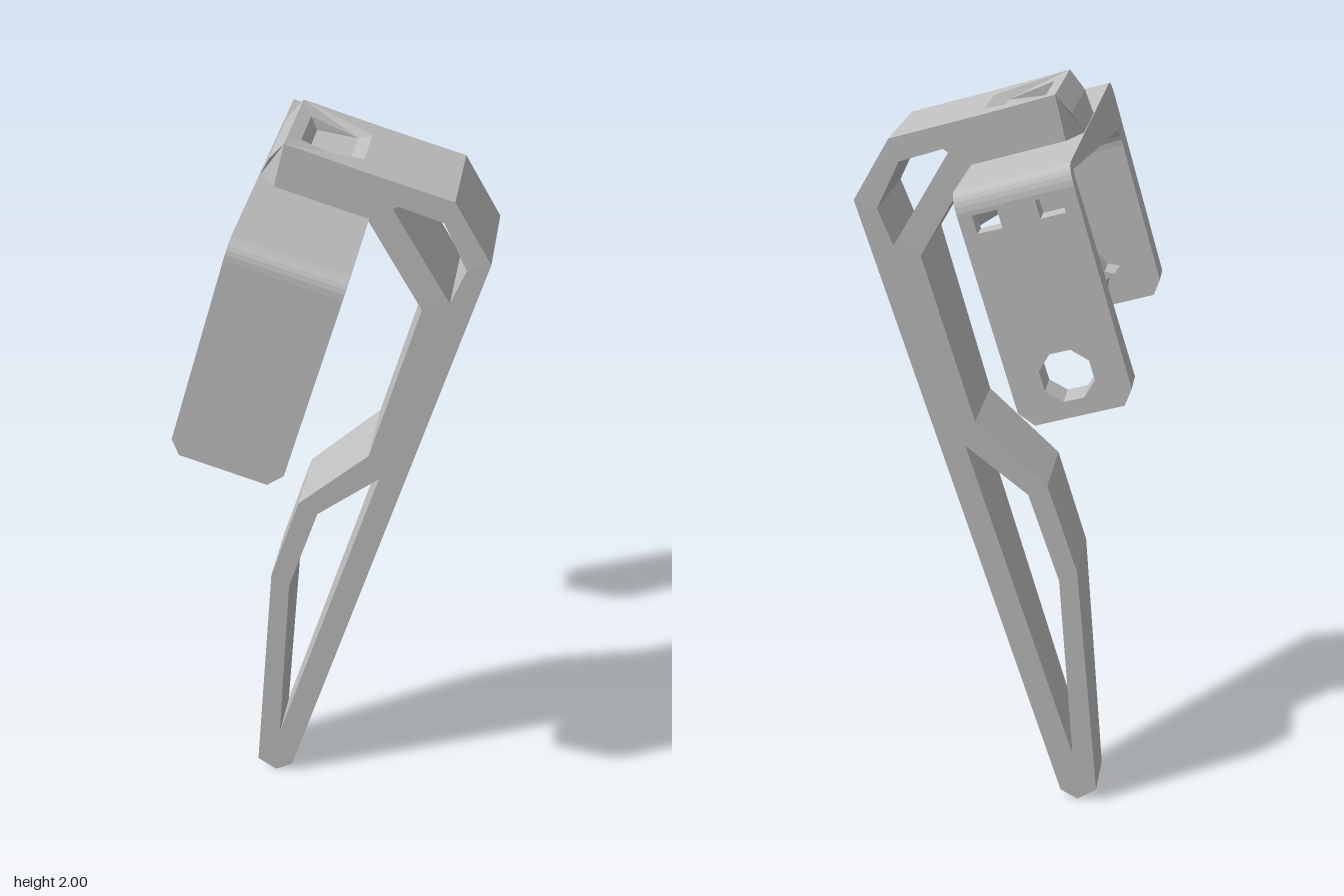
import * as THREE from 'three';

const HALF = 0.139; // half width of the bracket
const MID_Z = -0.032; // centre plane of the lever
const HEAD = 0.137; // half thickness of the lever head

const shapeOf = (pts) => new THREE.Shape(pts.map(([x, y]) => new THREE.Vector2(x, y)));
const pathOf = (pts) => new THREE.Path(pts.map(([x, y]) => new THREE.Vector2(x, y)));
const extrude = (shape, depth) =>
  new THREE.ExtrudeGeometry(shape, { depth, bevelEnabled: false, curveSegments: 6 });

// Move every vertex by a rule, then refresh the flat normals
function reshape(geo, rule) {
  const p = geo.attributes.position;
  const v = new THREE.Vector3();
  for (let i = 0; i < p.count; i++) {
    v.fromBufferAttribute(p, i);
    rule(v);
    p.setXYZ(i, v.x, v.y, v.z);
  }
  geo.computeVertexNormals();
  return geo;
}

export function createModel() {
  const model = new THREE.Group();
  const grey = new THREE.MeshStandardMaterial({ color: 0xc0c0c0 });
  grey.name = 'plain grey';
  const add = (parent, name, geo) => {
    const mesh = new THREE.Mesh(geo, grey);
    mesh.name = name;
    parent.add(mesh);
    return mesh;
  };

  // Lever: skeleton profile (anticlockwise) with two windows, thinner to the foot
  const notch = [[0.045, 1.945], [0.01, 1.935], [-0.09, 1.95], [-0.104, 1.985], [-0.133, 2.0]];
  const lever = shapeOf([
    ...notch, [-0.16, 1.89], [0.062, 1.822], [0.195, 1.59], [0.066, 1.15],
    [-0.12, 0.98], [-0.2, 0.73], [-0.26, 0.037], [-0.208, 0], [-0.16, 0.027],
    [0.357, 1.725], [0.267, 1.88],
  ]);
  lever.holes.push(
    pathOf([[0.122, 1.852], [0.135, 1.86], [0.243, 1.825], [0.3, 1.705], [0.262, 1.613]]),
    pathOf([[0.093, 1.08], [-0.193, 0.15], [-0.152, 0.7], [-0.07, 0.95]]),
  );
  add(model, 'lever', reshape(extrude(lever, 1), (v) => {
    const half = 0.07 + (HEAD - 0.07) * Math.min(v.y / 1.72, 1);
    v.z = MID_Z + (v.z > 0.5 ? half : -half);
  }));

  // Nose of the head, drawn in towards its tip
  const nose = shapeOf([[-0.133, 2.0], [-0.172, 1.955], [-0.2, 1.9], [-0.16, 1.89]]);
  add(model, 'leverNose', reshape(extrude(nose, 1), (v) => {
    const half = v.x < -0.19 ? 0.095 : v.x < -0.165 ? 0.127 : HEAD;
    v.z = MID_Z + (v.z > 0.5 ? half : -half);
  }));

  // Cheeks closing the notch sideways, leaving a trapezoid recess
  for (const side of [1, -1]) {
    add(model, 'recessCheek', reshape(extrude(shapeOf(notch), 1), (v) => {
      const outer = v.z > 0.5 === side > 0;
      v.z = MID_Z + side * (outer || v.x < -0.12 ? HEAD : 0.072);
    }));
  }

  // Bracket: tilted frame, local x across the width, local y along the arms
  const bracket = new THREE.Group();
  bracket.name = 'bracket';
  bracket.position.set(-0.067, 1.864, 0);
  bracket.rotation.z = -0.289;
  model.add(bracket);

  // Crossbar with rounded shoulders; drawn in (-z, y) and turned across the width
  const bar = new THREE.Shape();
  bar.moveTo(-0.437, -0.2);
  bar.lineTo(-0.437, -0.045);
  bar.quadraticCurveTo(-0.437, 0, -0.395, 0);
  bar.lineTo(0.395, 0);
  bar.quadraticCurveTo(0.432, 0, 0.437, -0.045);
  bar.lineTo(0.397, -0.045);
  bar.lineTo(0.39, -0.018);
  bar.lineTo(0.355, -0.11);
  bar.lineTo(-0.305, -0.11);
  bar.quadraticCurveTo(-0.355, -0.11, -0.355, -0.16);
  bar.lineTo(-0.355, -0.2);
  const barGeo = extrude(bar, HALF * 2);
  barGeo.translate(0, 0, -HALF);
  barGeo.rotateY(Math.PI / 2);
  add(bracket, 'crossbar', reshape(barGeo, (v) => {
    // the inner side thins out towards the rear
    if (v.x < 0 && v.z < -0.34 && v.y < -0.1) v.y = -0.024;
  }));

  // Arm plates with clipped lower corners
  const armShape = (top) => shapeOf([
    [-HALF, top], [-HALF, -0.543], [-0.112, -0.58],
    [0.108, -0.582], [HALF, -0.543], [HALF, top],
  ]);
  const frontArm = extrude(armShape(-0.2), 0.082);
  frontArm.translate(0, 0, 0.355);
  add(bracket, 'frontArm', frontArm);

  // Rear arm: thinner at the top, with an eight-sided hole and two slots
  const rear = armShape(-0.045);
  const ring = [];
  for (let i = 0; i < 8; i++) {
    const a = ((i + 0.5) * Math.PI) / 4;
    ring.push([0.066 * Math.cos(a), -0.478 + 0.066 * Math.sin(a)]);
  }
  rear.holes.push(pathOf(ring));
  for (const x of [-0.075, 0.075]) {
    rear.holes.push(pathOf([
      [x - 0.03, -0.1], [x + 0.03, -0.1], [x + 0.03, -0.056], [x - 0.03, -0.056],
    ]));
  }
  add(bracket, 'rearArm', reshape(extrude(rear, 1), (v) => {
    v.z = -0.437 + (v.z > 0.5 ? 0.04 + (0.042 * -v.y) / 0.585 : 0);
  }));

  // Star-shaped locating peg on the inside of the front arm
  const star = [];
  for (let i = 0; i < 8; i++) {
    const r = i % 2 ? 0.02 : 0.045;
    const a = (i * Math.PI) / 4;
    star.push([r * Math.cos(a), r * Math.sin(a)]);
  }
  const peg = add(bracket, 'peg', reshape(extrude(shapeOf(star), 0.07), (v) => {
    if (v.z < 0.01) { v.x *= 0.8; v.y *= 0.8; }
  }));
  peg.position.set(0, -0.478, 0.292);

  return model;
}
